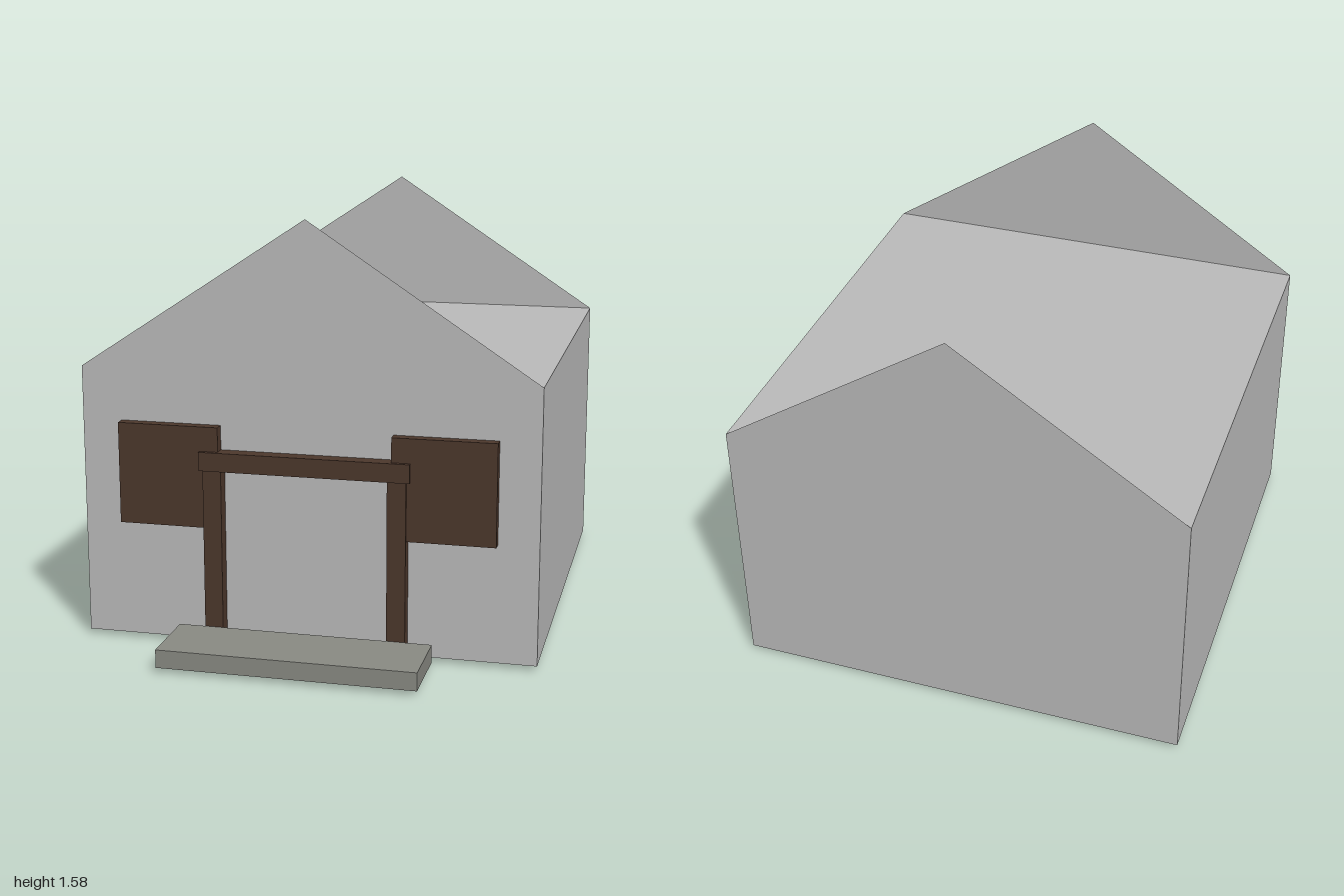
import * as THREE from 'three';

export function createModel() {
  const model = new THREE.Group();
  model.name = 'house';

  const wall = new THREE.MeshStandardMaterial({ color: 0xbcbcbc, side: THREE.DoubleSide });
  wall.name = 'grey wall';
  const wood = new THREE.MeshStandardMaterial({ color: 0x4d382c });
  wood.name = 'dark wood';
  const stone = new THREE.MeshStandardMaterial({ color: 0x8a8b84 });
  stone.name = 'step stone';

  // Box given by its lower and upper corners
  function block(name, material, [x0, y0, z0], [x1, y1, z1]) {
    const mesh = new THREE.Mesh(new THREE.BoxGeometry(x1 - x0, y1 - y0, z1 - z0), material);
    mesh.position.set((x0 + x1) / 2, (y0 + y1) / 2, (z0 + z1) / 2);
    mesh.name = name;
    model.add(mesh);
  }

  const halfWidth = 0.84, eaves = 1.027, ridge = 1.58, back = -1, front = 0.68;

  // Flat-topped body
  block('houseBody', wall, [-halfWidth, 0.018, back], [halfWidth, eaves, front]);

  // Free-standing sheet gables at both ends
  const triangle = new THREE.Shape([
    new THREE.Vector2(-halfWidth, eaves),
    new THREE.Vector2(halfWidth, eaves),
    new THREE.Vector2(0, ridge),
  ]);
  for (const [name, z, turn] of [['frontGable', front, 0], ['backGable', back, Math.PI]]) {
    const gable = new THREE.Mesh(new THREE.ShapeGeometry(triangle), wall);
    gable.position.z = z;
    gable.rotation.y = turn;
    gable.name = name;
    model.add(gable);
  }

  // Door posts and square shutters, mirrored
  for (const [side, s] of [['left', 1], ['right', -1]]) {
    const span = (a, b) => (s > 0 ? [a, b] : [-b, -a]);
    const [p0, p1] = span(0.304, 0.372);
    block(side + 'DoorPost', wood, [p0, 0, 0.675], [p1, 0.70, 0.73]);
    const [w0, w1] = span(0.317, 0.692);
    block(side + 'Shutter', wood, [w0, 0.457, 0.675], [w1, 0.832, 0.72]);
  }

  // Lintel and front step
  block('doorLintel', wood, [-0.385, 0.673, 0.675], [0.385, 0.742, 0.735]);
  block('frontStep', stone, [-0.47, 0.018, 0.73], [0.47, 0.085, 1]);

  return model;
}
